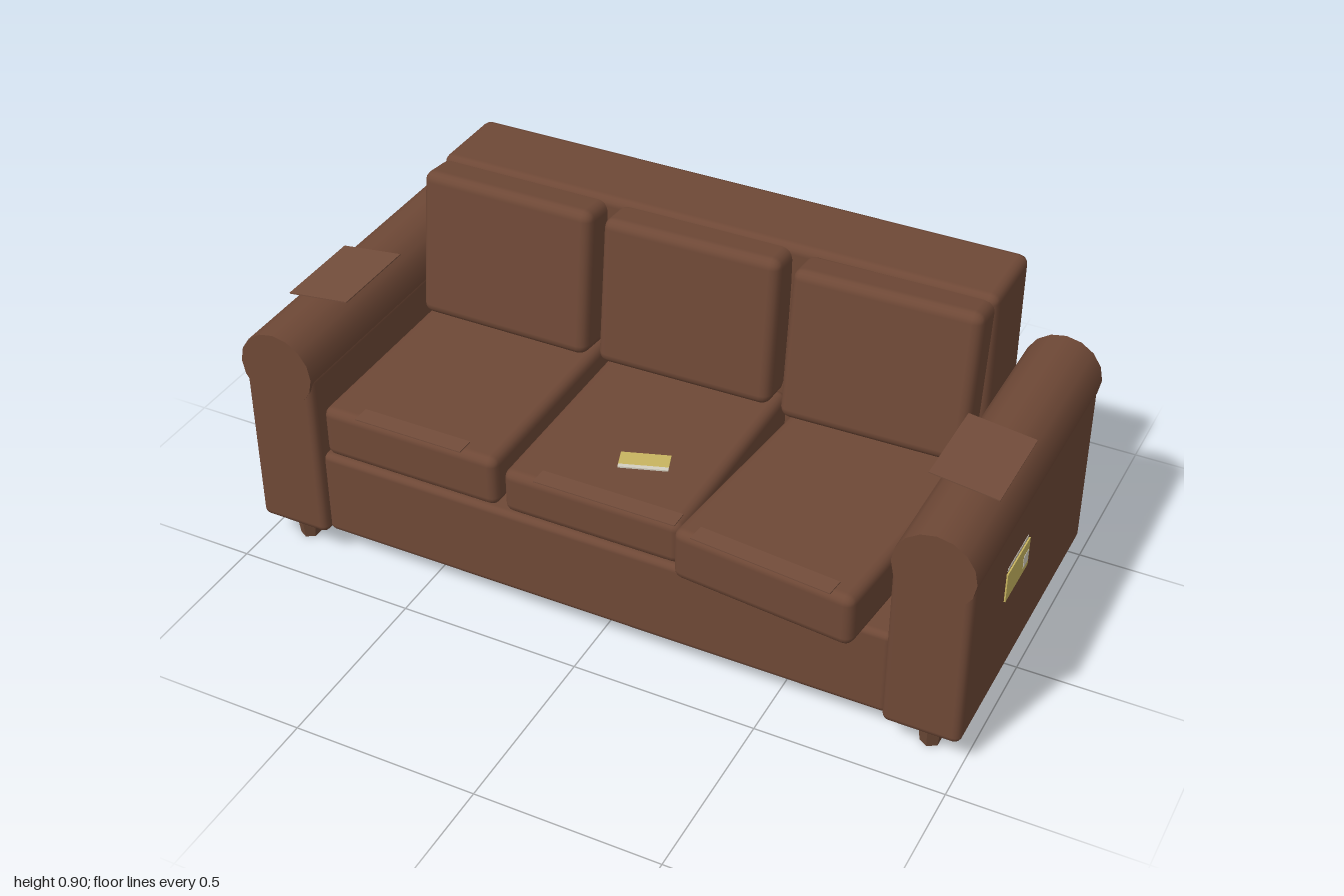
import * as THREE from 'three';
import { RoundedBoxGeometry } from 'three/addons/geometries/RoundedBoxGeometry.js';

const mat = (name, color, extra = {}) => {
  const m = new THREE.MeshStandardMaterial({ color, ...extra });
  m.name = name;
  return m;
};

export function createModel() {
  const sofa = new THREE.Group();
  sofa.name = 'sofa';
  const leather = mat('brown leather', 0x6e4836);
  const worn = mat('worn leather', 0x734d3b, { side: THREE.DoubleSide });
  const wood = mat('leg wood', 0x6a4735, { flatShading: true });
  const yellow = mat('yellow paper', 0xc8b560);
  const white = mat('off white paper', 0xd4cfc0);

  const add = (parent, name, geometry, material, x, y, z) => {
    const mesh = new THREE.Mesh(geometry, material);
    mesh.name = name;
    mesh.position.set(x, y, z);
    parent.add(mesh);
    return mesh;
  };
  const soft = (w, h, d, r) => new RoundedBoxGeometry(w, h, d, 2, r);
  const box = (w, h, d) => new THREE.BoxGeometry(w, h, d);

  // Base and backrest
  add(sofa, 'base', soft(1.6, 0.25, 0.875, 0.018), leather, 0, 0.203, -0.0475);
  add(sofa, 'backrest', soft(1.56, 0.6, 0.238, 0.025), leather, 0, 0.6, -0.364);

  // Arms with rolled tops, worn patches and legs
  for (const s of [-1, 1]) {
    const arm = new THREE.Group();
    arm.name = s > 0 ? 'leftArm' : 'rightArm';
    sofa.add(arm);
    add(arm, 'armPanel', soft(0.203, 0.5, 0.898, 0.02), leather, s * 0.8935, 0.328, -0.035);
    const roll = add(arm, 'armRoll', new THREE.CylinderGeometry(0.105, 0.105, 0.9, 16), leather, s * 0.895, 0.58, -0.035);
    roll.rotation.x = Math.PI / 2;
    const patch = add(arm, 'armPatch', box(0.178, 0.003, 0.26), worn, s * 0.886, 0.689, 0.09);
    patch.rotation.z = -s * 0.125;
    for (const z of [0.34, -0.412]) {
      add(sofa, 'leg', new THREE.CylinderGeometry(0.036, 0.027, 0.085, 6), wood, s * 0.9, 0.0425, z);
    }
  }

  // Seat cushions: x, z, width, height, turn, patch centre and width
  const seats = [
    [-0.53, 0.068, 0.512, 0.147, 0, 0.005, 0.31],
    [-0.007, 0.068, 0.496, 0.127, 0, 0.04, 0.39],
    [0.515, 0.137, 0.492, 0.148, -0.1, 0, 0.38],
  ];
  for (const [x, z, w, h, turn, px, pw] of seats) {
    const seat = new THREE.Group();
    seat.name = 'seat';
    seat.position.set(x, 0.33, z);
    seat.rotation.y = turn;
    sofa.add(seat);
    add(seat, 'seatCushion', soft(w, h, 0.64, 0.025), leather, 0, h / 2, 0);
    add(seat, 'seatPatch', box(pw, 0.003, 0.05), worn, px, h + 0.003, 0.3);
  }

  // Back cushions: x, z, width, lean, turn
  const backs = [
    [-0.533, -0.187, 0.5, -0.12, 0],
    [-0.005, -0.192, 0.49, -0.11, 0.025],
    [0.527, -0.182, 0.495, -0.14, 0.03],
  ];
  for (const [x, z, w, lean, turn] of backs) {
    const cushion = add(sofa, 'backCushion', soft(w, 0.415, 0.125, 0.028), leather, x, 0.687, z);
    cushion.rotation.set(lean, turn, 0);
  }

  // Paper tag on the outside of the left arm
  add(sofa, 'tag', box(0.006, 0.084, 0.16), yellow, 0.996, 0.387, 0.09);
  add(sofa, 'tagSquare', box(0.004, 0.036, 0.034), white, 0.998, 0.38, 0.034);
  add(sofa, 'tagStrip', box(0.003, 0.009, 0.146), white, 0.9945, 0.438, 0.092);

  // Loose paper on the middle seat
  const paper = new THREE.Group();
  paper.name = 'loosePaper';
  paper.position.set(0.046, 0.46, 0.194);
  paper.rotation.y = 0.33;
  sofa.add(paper);
  add(paper, 'sheet', box(0.128, 0.004, 0.05), yellow, 0, 0, -0.004);
  add(paper, 'sheetEdge', box(0.128, 0.004, 0.012), white, 0, 0, 0.027);

  return sofa;
}
